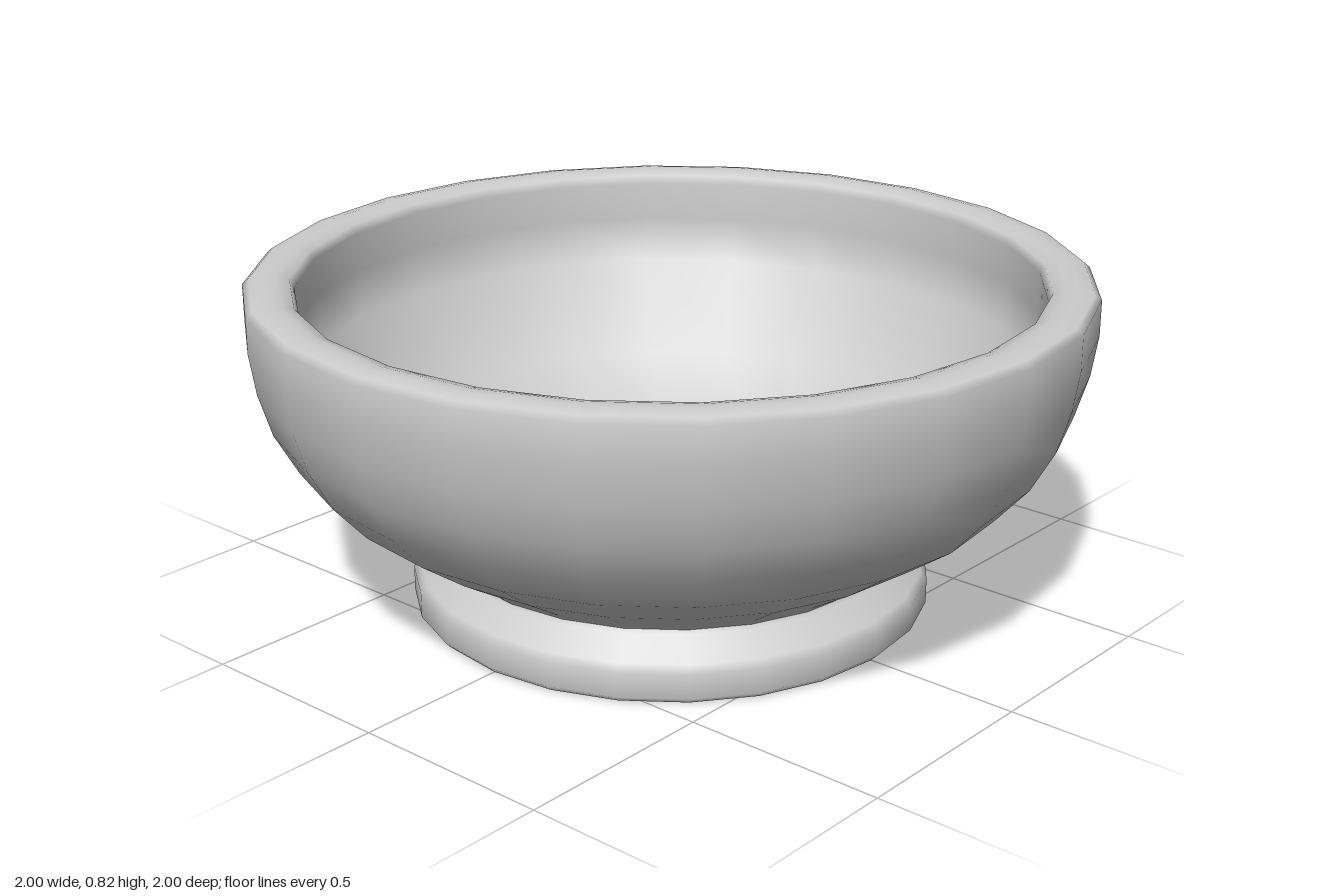
import * as THREE from 'three';

const SIDES = 24;

export function createModel() {
  const group = new THREE.Group();
  group.name = 'footedBowl';
  const grey = new THREE.MeshStandardMaterial({ color: 0xcccccc });
  grey.name = 'light grey';

  // Turn a profile of [radius, height] pairs around the y axis
  const turn = (name, profile) => {
    const points = profile.map(([r, y]) => new THREE.Vector2(r, y));
    const mesh = new THREE.Mesh(new THREE.LatheGeometry(points, SIDES), grey);
    mesh.name = name;
    group.add(mesh);
  };

  // Flat underside and flared foot ring
  turn('footUnderside', [[0, 0], [0.615, 0]]);
  turn('foot', [[0.615, 0], [0.63, 0.015], [0.63, 0.075], [0.615, 0.093], [0.56, 0.14], [0.555, 0.15]]);

  // Bowl: outer wall, rounded rim, upright inner wall and deep dished floor
  turn('bowl', [
    [0.555, 0.15], [0.57, 0.165], [0.7, 0.245], [0.82, 0.33], [0.9, 0.42], [0.955, 0.52],
    [0.985, 0.62], [1, 0.72], [1, 0.805], [0.985, 0.818], [0.95, 0.825],
    [0.92, 0.823], [0.89, 0.815], [0.88, 0.795],
    [0.88, 0.7], [0.875, 0.58], [0.72, 0.375], [0.52, 0.23], [0.27, 0.14], [0, 0.115],
  ]);

  return group;
}
